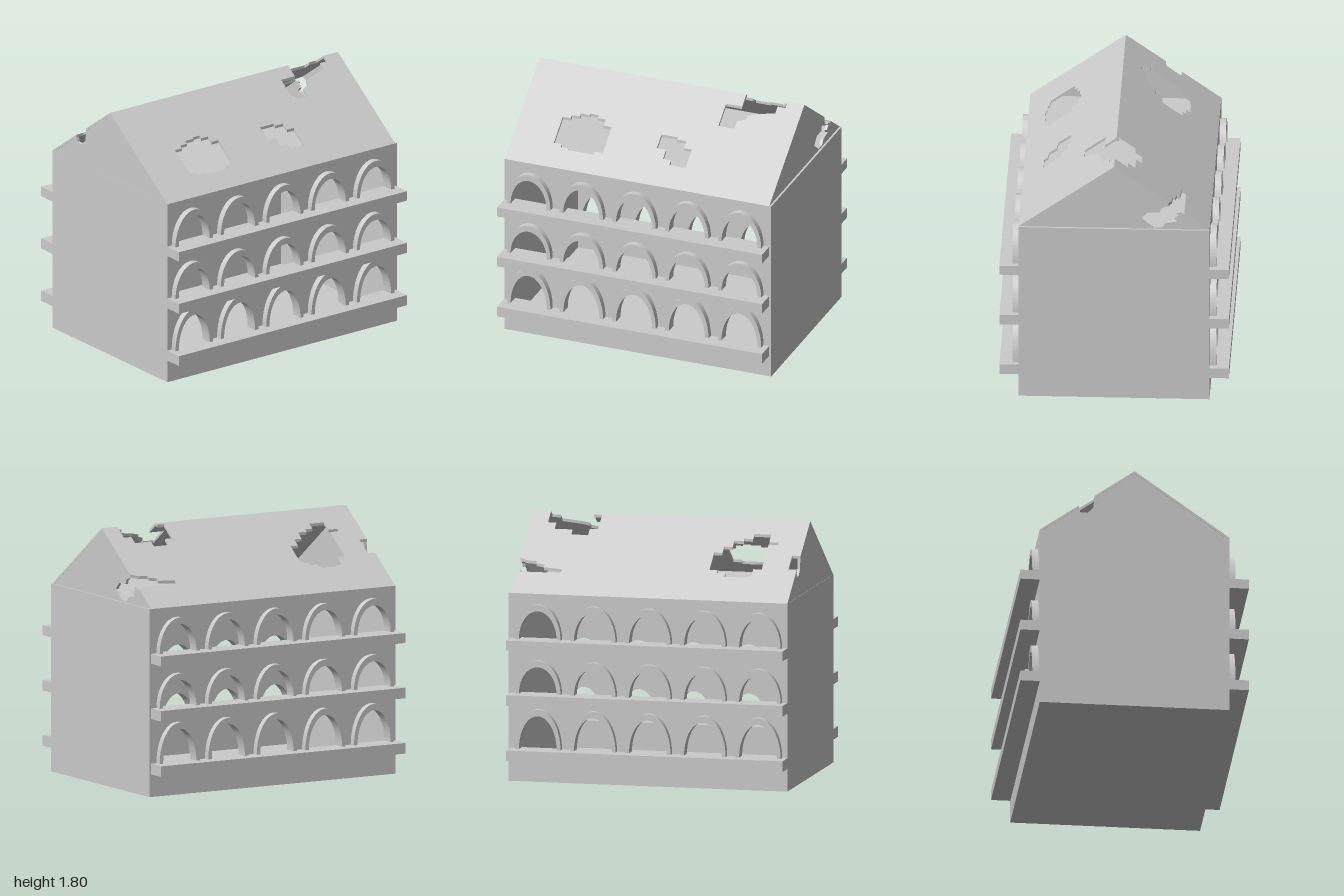
import * as THREE from 'three';

const material = new THREE.MeshStandardMaterial({ color: 0xcccccc, side: THREE.DoubleSide });
const DEPTH = 0.665, EAVE = 1.325, RIDGE = 1.805, WALL = 0.04, ROOF = 0.02;
const ROOF_END = 0.985;
const PITCH = (RIDGE - EAVE) / DEPTH;

// ledge underside, ledge top, inner arch height, outer arch height
const storeys = [
  [0.16, 0.235, 0.235, 0.28],
  [0.55, 0.625, 0.19, 0.235],
  [0.94, 1.01, 0.2, 0.245],
];
const columns = [0, 1, 2, 3, 4].map(i => -0.8 + i * 0.395);

function add(group, geometry, name) {
  const mesh = new THREE.Mesh(geometry, material);
  mesh.name = name;
  group.add(mesh);
  return mesh;
}

function box(group, name, x0, x1, y0, y1, z0, z1) {
  const geometry = new THREE.BoxGeometry(x1 - x0, y1 - y0, z1 - z0);
  geometry.translate((x0 + x1) / 2, (y0 + y1) / 2, (z0 + z1) / 2);
  return add(group, geometry, name);
}

const polygon = points => points.map(p => new THREE.Vector2(p[0], p[1]));

function extrude(shape, depth) {
  return new THREE.ExtrudeGeometry(shape, { depth, bevelEnabled: false, curveSegments: 12 });
}

// half ellipse standing on y
function archPoints(x, y, rx, ry) {
  const points = [];
  for (let i = 0; i <= 28; i++) {
    const a = Math.PI * i / 28;
    points.push(new THREE.Vector2(x + rx * Math.cos(a), y + ry * Math.sin(a)));
  }
  return points;
}

// long wall with rows of arched openings, frames and ledges
function facade(side) {
  const group = new THREE.Group();
  group.name = side > 0 ? 'frontFacade' : 'backFacade';
  const place = (geometry, near, far) =>
    geometry.translate(0, 0, side > 0 ? near : -far);

  const wall = new THREE.Shape(polygon([[-1, 0], [1, 0], [1, EAVE], [-1, EAVE]]));
  for (const [under, top, inner, outer] of storeys) {
    for (const x of columns) {
      wall.holes.push(new THREE.Path(archPoints(x, top, 0.135, inner)));
      const ring = archPoints(x, top, 0.163, outer)
        .concat(archPoints(x, top, 0.135, inner).reverse());
      add(group, place(extrude(new THREE.Shape(ring), 0.045), DEPTH, DEPTH + 0.045), 'archFrame');
    }
    const z = [side * DEPTH, side * 0.8].sort((a, b) => a - b);
    box(group, 'ledge', -1, ROOF_END, under, top, z[0], z[1]);
  }
  add(group, place(extrude(wall, WALL), DEPTH - WALL, DEPTH), 'archedWall');
  return group;
}

// roof slab from a plan outline in (x, z), sheared down to the pitch
function roofSlope(group, name, outline, holes) {
  const plan = points => polygon(points.map(([x, z]) => [x, -z]));
  const shape = new THREE.Shape(plan(outline));
  for (const hole of holes) shape.holes.push(new THREE.Path(plan(hole)));
  const geometry = extrude(shape, ROOF).rotateX(-Math.PI / 2);
  const p = geometry.attributes.position;
  for (let i = 0; i < p.count; i++) {
    p.setY(i, p.getY(i) + RIDGE - ROOF - PITCH * Math.abs(p.getZ(i)));
  }
  geometry.computeVertexNormals();
  add(group, geometry, name);
}

// triangular end wall from (z, y) points; damage is a bite along the back slope
function gable(group, name, outerX, damage) {
  const low = EAVE - ROOF;
  const outline = [[-0.664, low], [0.664, low], [0, RIDGE - ROOF], ...damage];
  const geometry = extrude(new THREE.Shape(polygon(outline)), ROOF).rotateY(-Math.PI / 2);
  geometry.translate(outerX, 0, 0);
  add(group, geometry, name);
}

function roof() {
  const group = new THREE.Group();
  group.name = 'damagedRoof';
  const e = 0.664, r = ROOF_END;

  // front slope: ridge bite and two ragged holes
  roofSlope(group, 'frontRoofSlope', [
    [-1, 0], [-1, e], [r, e], [r, 0],
    [0.86, 0], [0.86, 0.04], [0.8, 0.04], [0.8, 0.085], [0.67, 0.11], [0.61, 0.13],
    [0.61, 0.155], [0.55, 0.175], [0.55, 0.225], [0.43, 0.225], [0.43, 0.08], [0.55, 0.08], [0.55, 0],
  ], [
    [[-0.69, 0.34], [-0.63, 0.34], [-0.63, 0.32], [-0.57, 0.32], [-0.57, 0.3], [-0.5, 0.3],
      [-0.5, 0.29], [-0.44, 0.29], [-0.44, 0.31], [-0.38, 0.31], [-0.38, 0.35], [-0.32, 0.35],
      [-0.32, 0.52], [-0.38, 0.52], [-0.38, 0.54], [-0.57, 0.54], [-0.57, 0.53], [-0.63, 0.53],
      [-0.63, 0.51], [-0.69, 0.51]],
    [[0.05, 0.34], [0.17, 0.34], [0.17, 0.355], [0.24, 0.355], [0.24, 0.4], [0.3, 0.4],
      [0.3, 0.52], [0.18, 0.52], [0.18, 0.49], [0.12, 0.49], [0.12, 0.43], [0.05, 0.43]],
  ]);

  // back slope: ridge bite, bites at both ends and one ragged hole
  roofSlope(group, 'backRoofSlope', [
    [-1, 0], [0.55, 0], [0.55, -0.015], [0.49, -0.015], [0.49, -0.13], [0.55, -0.13], [0.55, -0.18],
    [0.67, -0.18], [0.67, -0.14], [0.8, -0.14], [0.8, -0.09], [0.86, -0.09], [0.86, 0],
    [r, 0], [r, -0.38], [0.93, -0.4], [0.86, -0.405], [0.86, -0.42], [0.8, -0.43], [0.8, -0.45],
    [0.67, -0.46], [0.67, -0.49], [r, -0.49], [r, -e], [-1, -e],
    [-1, -0.39], [-0.94, -0.39], [-0.94, -0.28], [-1, -0.28],
  ], [
    [[-0.69, -0.455], [-0.63, -0.47], [-0.5, -0.47], [-0.5, -0.44], [-0.44, -0.44], [-0.44, -0.42],
      [-0.38, -0.42], [-0.38, -0.28], [-0.44, -0.28], [-0.44, -0.23], [-0.5, -0.23], [-0.5, -0.18],
      [-0.57, -0.18], [-0.57, -0.16], [-0.63, -0.16], [-0.63, -0.12], [-0.75, -0.12], [-0.75, -0.18],
      [-0.82, -0.18], [-0.82, -0.2], [-0.75, -0.2], [-0.75, -0.4], [-0.69, -0.4]],
  ]);

  const onSlope = z => [z, RIDGE - ROOF - PITCH * Math.abs(z)];
  gable(group, 'leftGable', r, [
    onSlope(-0.39), [-0.36, 1.5], [-0.325, 1.48], [-0.32, 1.455], [-0.233, 1.45], [-0.186, 1.4],
    [-0.22, 1.37], [-0.27, 1.335], [-0.33, 1.335], [-0.36, 1.37], [-0.44, 1.385], [-0.42, 1.41],
    [-0.45, 1.435], [-0.43, 1.45], onSlope(-0.46),
  ]);
  gable(group, 'rightGable', -0.998 + ROOF, [
    onSlope(-0.28), [-0.29, 1.51], [-0.33, 1.47], [-0.38, 1.47], onSlope(-0.39),
  ]);
  return group;
}

export function createModel() {
  const model = new THREE.Group();
  model.name = 'arcadedBuilding';
  const inner = DEPTH - WALL;

  model.add(facade(1), facade(-1));

  // blank end walls, ground floor and attic floor around the hollow interior
  box(model, 'leftEndWall', 1 - WALL, 1, 0, EAVE, -inner, inner);
  box(model, 'rightEndWall', -1, -1 + WALL, 0, EAVE, -inner, inner);
  box(model, 'groundFloor', -1 + WALL, 1 - WALL, 0, WALL, -inner, inner);
  box(model, 'atticFloor', -1 + WALL, 1 - WALL, EAVE - WALL, EAVE, -inner, inner);

  model.add(roof());
  return model;
}
